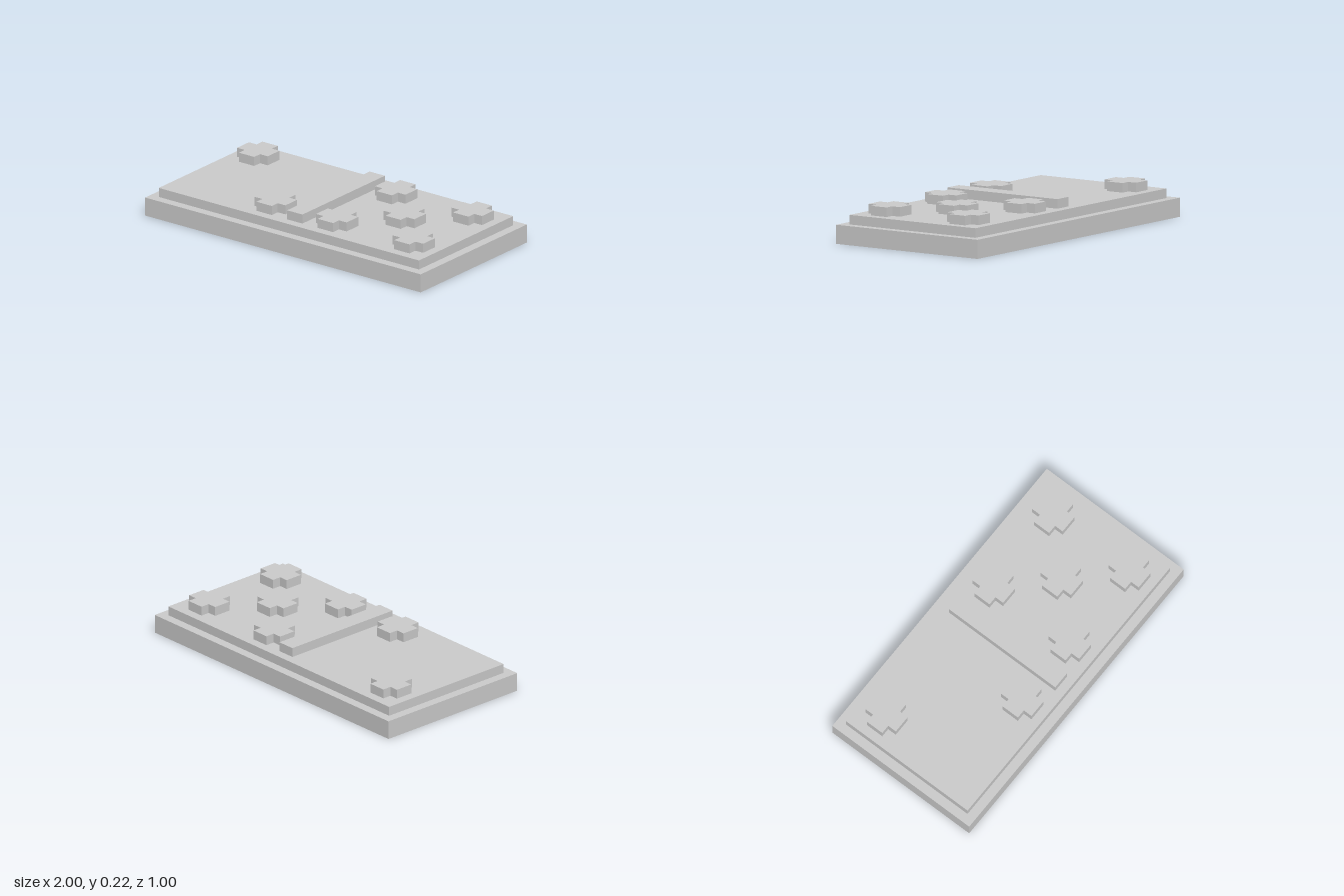
import * as THREE from 'three';

const U = 1 / 18; // modelling unit: every size is a whole number of these

export function createModel() {
  const group = new THREE.Group();
  const material = new THREE.MeshStandardMaterial({ color: 0xcccccc, flatShading: true });

  const add = (name, geometry, x, y, z) => {
    const mesh = new THREE.Mesh(geometry, material);
    mesh.name = name;
    mesh.position.set(x * U, y * U, z * U);
    group.add(mesh);
  };
  const box = (w, h, d) => new THREE.BoxGeometry(w * U, h * U, d * U);

  // Stepped tile body and dividing bar
  add('base', box(36, 2, 18), 0, 1, 0);
  add('facePlate', box(34, 1, 16), 0, 2.5, 0);
  add('dividerBar', box(2, 1, 14), 0, 3.5, 0);

  // Plus-shaped pip, extruded upwards
  const outline = [[-1, -2], [1, -2], [1, -1], [2, -1], [2, 1], [1, 1],
    [1, 2], [-1, 2], [-1, 1], [-2, 1], [-2, -1], [-1, -1]];
  const plus = new THREE.Shape(outline.map(([x, y]) => new THREE.Vector2(x * U, y * U)));
  const pip = new THREE.ExtrudeGeometry(plus, { depth: U, bevelEnabled: false });
  pip.rotateX(-Math.PI / 2);

  // Two pips on the right half, five on the left half
  const rightPips = [[-14, -5], [-4, 5]];
  const leftPips = [[4, -5], [14, -5], [9, 0], [4, 5], [14, 5]];
  rightPips.forEach(([x, z], i) => add(`rightPip${i + 1}`, pip, x, 3, z));
  leftPips.forEach(([x, z], i) => add(`leftPip${i + 1}`, pip, x, 3, z));

  return group;
}
